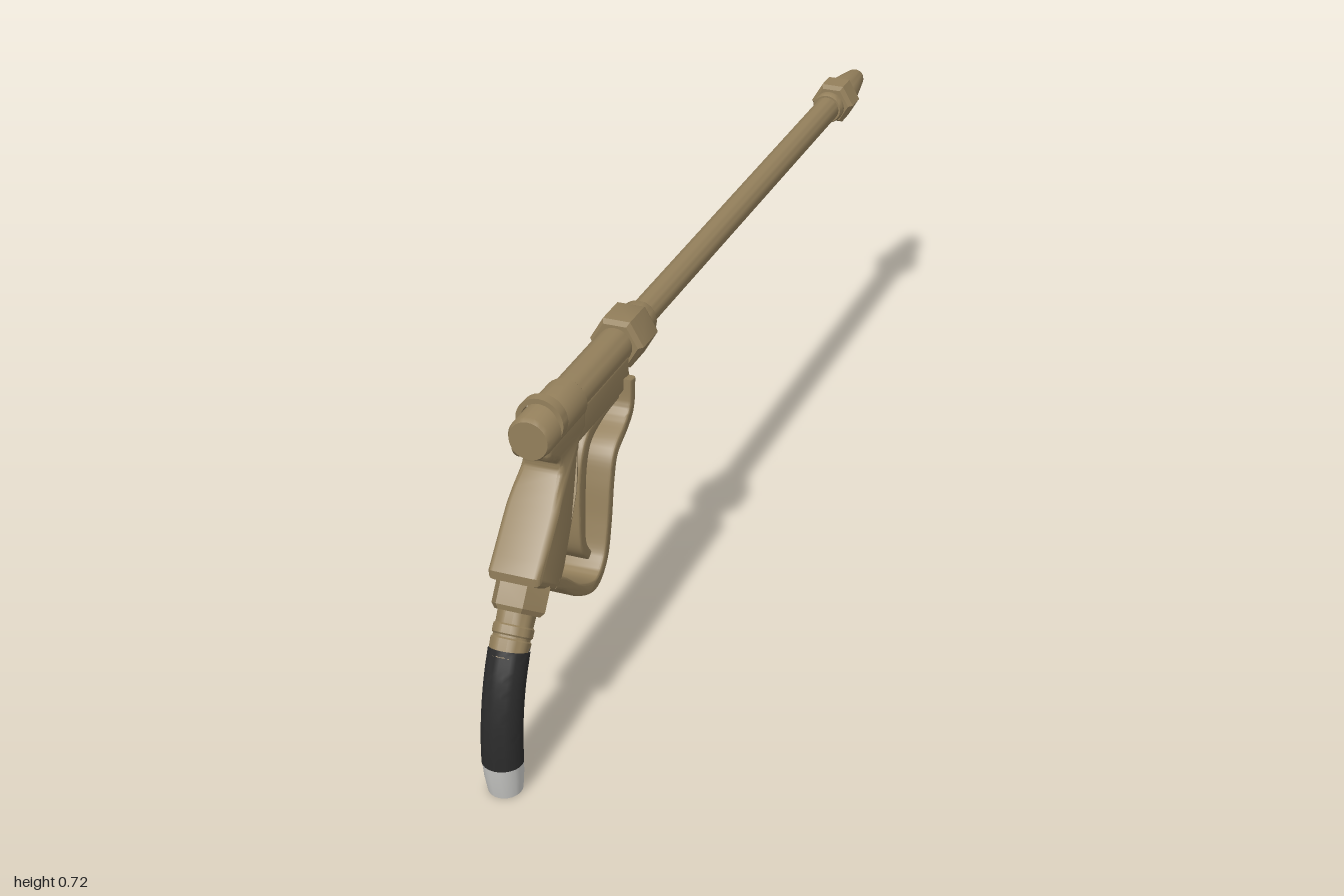
import * as THREE from 'three';
import { toCreasedNormals } from 'three/addons/utils/BufferGeometryUtils.js';

const mat = (name, color, side = THREE.FrontSide) => {
  const m = new THREE.MeshStandardMaterial({ color, side });
  m.name = name;
  return m;
};

export function createModel() {
  const brass = mat('brass', 0x937f5b);
  const rubber = mat('black rubber', 0x2b2b2b);
  const white = mat('white sleeve', 0xcbcbc8, THREE.DoubleSide);
  const model = new THREE.Group();
  model.name = 'sprayGun';
  const AXIS = 0.659;

  const add = (name, geo, material, parent = model) => {
    const mesh = new THREE.Mesh(toCreasedNormals(geo, 0.6), material);
    mesh.name = name;
    parent.add(mesh);
    return mesh;
  };
  const lathe = (pts, segs) => new THREE.LatheGeometry(
    pts.map(([r, s]) => new THREE.Vector2(r, s)), segs, segs === 6 ? Math.PI / 6 : 0);

  // Turned part on the barrel axis; points are [radius, z] from rear to front
  const turned = (name, pts, segs = 28, y = AXIS) => {
    const g = lathe(pts.map(([r, z]) => [r, -z]), segs);
    g.rotateX(-Math.PI / 2).translate(0, y, 0);
    return add(name, g, brass);
  };
  // Side outline [z, y] extruded across x with rounded edges
  const slab = (shape, halfWidth, bevel) => {
    const g = new THREE.ExtrudeGeometry(shape, {
      depth: 2 * (halfWidth - bevel), bevelEnabled: true, bevelSize: bevel,
      bevelThickness: bevel, bevelOffset: -bevel, bevelSegments: 3, curveSegments: 8,
    });
    return g.translate(0, 0, bevel - halfWidth).rotateY(-Math.PI / 2);
  };
  // Band of varying thickness that follows a smooth centre line
  const band = (pts, half, n = 48) => {
    const curve = new THREE.SplineCurve(pts.map(p => new THREE.Vector2(...p)));
    const a = [], b = [];
    for (let i = 0; i <= n; i++) {
      const t = i / n, p = curve.getPoint(t), d = curve.getTangent(t), h = half(t);
      a.push(new THREE.Vector2(p.x - d.y * h, p.y + d.x * h));
      b.unshift(new THREE.Vector2(p.x + d.y * h, p.y - d.x * h));
    }
    return new THREE.Shape([...a, ...b]);
  };

  // Barrel, nuts and nozzle
  turned('barrel', [[0.027, 0.3], [0.027, -0.81]]);
  turned('barrelCollar', [[0, 0.33], [0.037, 0.33], [0.037, 0.295], [0.031, 0.285], [0, 0.285]]);
  turned('barrelNut', [[0, 0.415], [0.047, 0.415], [0.055, 0.405], [0.055, 0.335], [0.047, 0.322], [0, 0.322]], 6);
  turned('nozzleCollar', [[0, -0.8], [0.031, -0.8], [0.034, -0.806], [0.034, -0.817], [0.028, -0.822], [0.028, -0.84]]);
  turned('nozzleNut', [[0, -0.828], [0.04, -0.828], [0.048, -0.838], [0.048, -0.882], [0.04, -0.892], [0, -0.892]], 6);
  turned('nozzleTip', [[0.036, -0.885], [0.035, -0.91], [0.021, -0.992], [0.018, -1], [0.009, -1], [0.008, -0.98], [0, -0.98]]);

  // Valve body and rear cap
  turned('valveBody', [[0, 0.66], [0.037, 0.66], [0.037, 0.43], [0.034, 0.4], [0, 0.4]]);
  turned('rearCap', [[0, 0.812], [0.038, 0.812], [0.043, 0.803], [0.043, 0.645], [0.036, 0.635]]);
  turned('ring', [[0.037, 0.762], [0.047, 0.762], [0.047, 0.74], [0.037, 0.74], [0.037, 0.762]], 32, 0.672);
  const bridge = new THREE.Shape([[0.68, 0.655], [0.68, 0.588], [0.45, 0.588], [0.43, 0.61], [0.43, 0.655]]
    .map(p => new THREE.Vector2(...p)));
  add('valveBridge', slab(bridge, 0.037, 0.008), brass);

  // Grip, narrowing towards the valve body
  const grip = new THREE.Shape();
  grip.moveTo(0.806, 0.655);
  grip.lineTo(0.808, 0.63);
  grip.quadraticCurveTo(0.8, 0.612, 0.775, 0.604);
  grip.quadraticCurveTo(0.748, 0.592, 0.764, 0.57);
  for (let i = 1; i <= 6; i++) grip.lineTo(0.764 + 0.0215 * i, 0.57 - 0.0238 * i);
  grip.lineTo(0.893, 0.41);
  grip.lineTo(0.805, 0.352);
  grip.lineTo(0.775, 0.39);
  for (let i = 1; i <= 8; i++) grip.lineTo(0.775 - 0.0125 * i, 0.39 + 0.0245 * i);
  grip.quadraticCurveTo(0.665, 0.6, 0.64, 0.61);
  grip.lineTo(0.64, 0.655);
  const gripGeo = slab(grip, 0.052, 0.012);
  const gp = gripGeo.attributes.position;
  for (let i = 0; i < gp.count; i++) {
    const k = 1 - 0.25 * THREE.MathUtils.smoothstep(gp.getY(i), 0.51, 0.605);
    gp.setX(i, gp.getX(i) * k);
  }
  add('grip', gripGeo, brass);

  // Trigger guard and trigger
  const guard = band([[0.815, 0.378], [0.775, 0.35], [0.717, 0.304], [0.642, 0.272], [0.594, 0.299], [0.572, 0.363],
    [0.556, 0.448], [0.535, 0.501], [0.481, 0.533], [0.455, 0.56], [0.449, 0.615]], () => 0.0125, 64);
  add('triggerGuard', slab(guard, 0.052, 0.005), brass);
  const trigger = band([[0.47, 0.588], [0.545, 0.587], [0.612, 0.568], [0.641, 0.52], [0.65, 0.44], [0.648, 0.36],
    [0.618, 0.318]], t => 0.009 + 0.008 * Math.sin(Math.PI * t));
  add('trigger', slab(trigger, 0.032, 0.005), brass);

  // Hose fitting, tilted back below the grip
  const fitting = new THREE.Group();
  fitting.name = 'hoseFitting';
  fitting.position.set(0, 0.402, 0.838);
  fitting.quaternion.setFromUnitVectors(new THREE.Vector3(0, -1, 0), new THREE.Vector3(0, -0.82, 0.57).normalize());
  model.add(fitting);
  add('hoseNut', lathe([[0, -0.075], [0.045, -0.075], [0.053, -0.066], [0.053, -0.02], [0.048, -0.01], [0, -0.01]], 6),
    brass, fitting);
  add('hoseFerrule', lathe([[0, -0.16], [0.036, -0.16], [0.038, -0.125], [0.035, -0.122], [0.035, -0.118],
    [0.038, -0.115], [0.038, -0.1], [0.035, -0.097], [0.036, -0.07]], 28), brass, fitting);

  // Curved hose and its end sleeve
  const path = new THREE.CatmullRomCurve3([[0.287, 0.918], [0.235, 0.94], [0.17, 0.956], [0.11, 0.962], [0.07, 0.962]]
    .map(([y, z]) => new THREE.Vector3(0, y, z)));
  add('hose', new THREE.TubeGeometry(path, 24, 0.039, 24), rubber);
  const cap = new THREE.CircleGeometry(0.039, 24);
  const top = add('hoseTop', cap, rubber);
  top.position.set(0, 0.287, 0.918);
  top.rotation.x = -Math.PI / 2 + 0.4;
  const end = new THREE.Group();
  end.name = 'hoseEnd';
  end.position.set(0, 0.075, 0.962);
  end.rotation.x = 0.12;
  model.add(end);
  add('endSleeve', lathe([[0.028, -0.069], [0.033, -0.07], [0.037, -0.035], [0.0385, 0.002]], 24), white, end);
  const bore = add('hoseBore', new THREE.CircleGeometry(0.031, 24), rubber, end);
  bore.position.y = -0.0695;
  bore.rotation.x = Math.PI / 2;

  return model;
}
